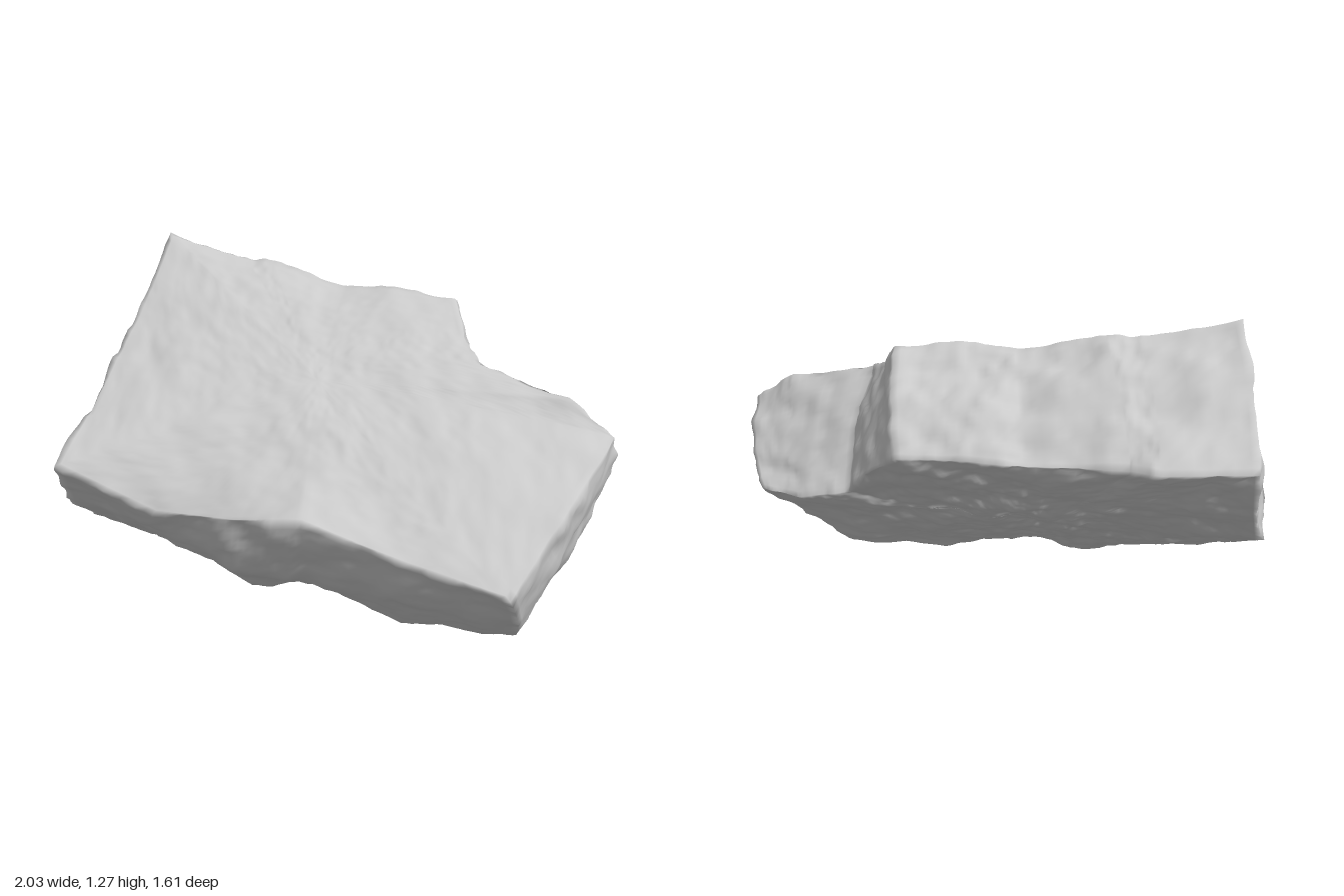
import * as THREE from 'three';
import { mergeVertices } from 'three/addons/utils/BufferGeometryUtils.js';

// Rim of the slab: upper corner xyz, then the matching lower corner xyz
const RIM = [
  [-0.71, 1.25, -0.42, -0.70, 0.88, -0.80], // back right corner
  [-0.40, 1.18, -0.35, -0.41, 0.86, -0.75],
  [-0.28, 1.16, -0.32, -0.32, 0.85, -0.68],
  [0.00, 1.09, -0.24, 0.00, 0.82, -0.58],
  [0.20, 1.11, -0.19, 0.20, 0.82, -0.52],
  [0.42, 1.08, -0.15, 0.43, 0.80, -0.45], // start of the broken notch
  [0.46, 0.98, -0.02, 0.56, 0.64, -0.25],
  [0.52, 0.92, 0.09, 0.63, 0.48, -0.07], // inside of the notch
  [0.83, 0.84, 0.22, 0.82, 0.43, 0.00],
  [0.99, 0.73, 0.29, 0.97, 0.43, 0.08], // left end
  [0.82, 0.56, 0.54, 0.85, 0.24, 0.25],
  [0.64, 0.36, 0.80, 0.67, 0.00, 0.40], // front left corner
  [0.30, 0.41, 0.69, 0.28, 0.00, 0.34],
  [-0.05, 0.50, 0.60, -0.05, 0.09, 0.26],
  [-0.30, 0.46, 0.54, -0.30, 0.03, 0.20],
  [-0.60, 0.43, 0.44, -0.68, 0.15, 0.04],
  [-0.97, 0.56, 0.36, -0.99, 0.18, -0.02], // front right corner
  [-0.86, 0.82, 0.02, -0.85, 0.41, -0.39],
  [-0.78, 1.02, -0.20, -0.76, 0.64, -0.63],
];
const STEPS = 12, CAP = 50, SIDE = 24;

// Best flat plane through one rim: its middle and outward normal; the face bulges from it
function facePlane(first, middle, bulge) {
  const points = RIM.map((r) => new THREE.Vector3(r[first], r[first + 1], r[first + 2]));
  const normal = new THREE.Vector3();
  points.forEach((p, i) => {
    const q = points[(i + 1) % points.length];
    normal.add(q.clone().sub(middle).cross(p.clone().sub(middle)));
  });
  normal.normalize();
  const offset = points.reduce((sum, p) => sum + p.clone().sub(middle).dot(normal), 0);
  return { centre: middle.clone().addScaledVector(normal, offset / points.length), normal, bulge };
}
// The rim runs clockwise seen from above, so the lower bulge is negative along the normal
const TOP = facePlane(0, new THREE.Vector3(-0.05, 0.84, 0.14), 0.03);
const BOTTOM = facePlane(3, new THREE.Vector3(-0.08, 0.42, -0.2), -0.035);

// Point between a face's middle (r = 0) and its rim (r = 1)
function facePoint({ centre, normal, bulge }, rim, r) {
  const d = rim.clone().sub(centre);
  const height = d.dot(normal);
  d.addScaledVector(normal, -height);
  return centre.clone().addScaledVector(d, r)
    .addScaledVector(normal, height * r ** 3 + bulge * (1 - r * r));
}

// Smooth seeded value noise in -1..1
function hash(x, y, z) {
  let h = Math.imul(x, 374761393) ^ Math.imul(y, 668265263) ^ Math.imul(z, 1274126177);
  h = Math.imul(h ^ (h >>> 13), 1103515245);
  return ((h ^ (h >>> 16)) >>> 0) / 2147483648 - 1;
}
function noise(x, y, z) {
  const ix = Math.floor(x), iy = Math.floor(y), iz = Math.floor(z);
  const ease = (t) => t * t * (3 - 2 * t);
  const u = ease(x - ix), v = ease(y - iy), w = ease(z - iz);
  let sum = 0;
  for (let k = 0; k < 8; k++) {
    const a = k & 1, b = (k >> 1) & 1, c = k >> 2;
    sum += hash(ix + a, iy + b, iz + c) * (a ? u : 1 - u) * (b ? v : 1 - v) * (c ? w : 1 - w);
  }
  return sum;
}
function roughness(p) {
  let sum = 0;
  for (let o = 0, f = 7, a = 0.01; o < 4; o++, f *= 2, a *= 0.6) {
    sum += a * noise(p.x * f + 7 * o, p.y * f, p.z * f);
  }
  return sum;
}

// Closed skin: upper face rings, broken sides, lower face rings
function slabGeometry() {
  const columns = RIM.length * STEPS, rows = 2 * CAP + SIDE;
  const positions = [], indices = [];
  for (let j = 0; j <= rows; j++) {
    for (let i = 0; i < columns; i++) {
      const k = Math.floor(i / STEPS), t = (i % STEPS) / STEPS;
      const a = RIM[k], b = RIM[(k + 1) % RIM.length];
      const r = a.map((value, n) => value + (b[n] - value) * t);
      const top = new THREE.Vector3(r[0], r[1], r[2]);
      const bottom = new THREE.Vector3(r[3], r[4], r[5]);
      let p;
      if (j < CAP) p = facePoint(TOP, top, j / CAP);
      else if (j <= CAP + SIDE) {
        const s = (j - CAP) / SIDE;
        p = top.lerp(bottom, s);
        // Sides swell between the two faces, most of all at the front
        const out = p.clone().sub(TOP.centre.clone().lerp(BOTTOM.centre, s)).normalize();
        const swell = 0.015 + 0.06 * Math.max(0, out.z);
        p.addScaledVector(out, swell * Math.sin(Math.PI * s));
      } else p = facePoint(BOTTOM, bottom, (rows - j) / CAP);
      positions.push(p.x, p.y, p.z);
    }
  }
  for (let j = 0; j < rows; j++) {
    for (let i = 0; i < columns; i++) {
      const n = (i + 1) % columns;
      const a = j * columns + i, b = j * columns + n, c = a + columns, d = b + columns;
      if (j > 0) indices.push(a, b, d);
      if (j < rows - 1) indices.push(a, d, c);
    }
  }
  let geometry = new THREE.BufferGeometry();
  geometry.setAttribute('position', new THREE.Float32BufferAttribute(positions, 3));
  geometry.setIndex(indices);
  geometry = mergeVertices(geometry, 1e-5);
  geometry.computeVertexNormals();

  // Chip the surface along its normals; the upper face is the smoothest
  const pos = geometry.attributes.position, nor = geometry.attributes.normal;
  const p = new THREE.Vector3(), n = new THREE.Vector3();
  for (let i = 0; i < pos.count; i++) {
    p.fromBufferAttribute(pos, i);
    n.fromBufferAttribute(nor, i);
    const facing = THREE.MathUtils.smoothstep(n.dot(TOP.normal), 0.6, 0.95);
    p.addScaledVector(n, roughness(p) * THREE.MathUtils.lerp(1.5, 0.7, facing));
    pos.setXYZ(i, p.x, p.y, p.z);
  }
  geometry.computeVertexNormals();

  // Rest the stone on the ground
  geometry.computeBoundingBox();
  geometry.translate(0, -geometry.boundingBox.min.y, 0);
  return geometry;
}

export function createModel() {
  const group = new THREE.Group();
  group.name = 'rock';
  const slab = new THREE.Mesh(slabGeometry(), new THREE.MeshStandardMaterial({ color: 0xcccccc }));
  slab.name = 'rockSlab';
  group.add(slab);
  return group;
}
